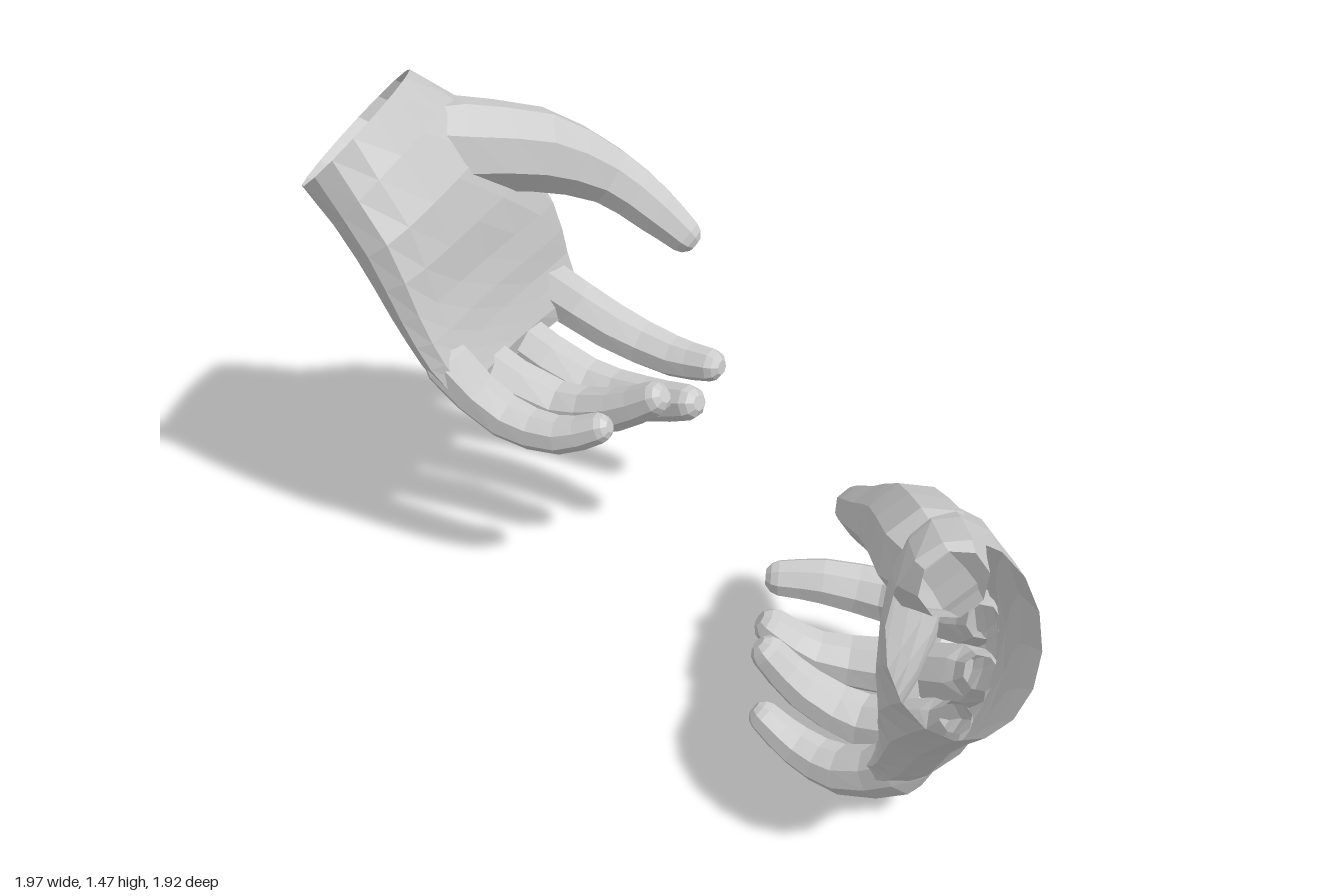
import * as THREE from 'three';

const V = (a) => new THREE.Vector3(a[0], a[1], a[2]);
const skin = new THREE.MeshStandardMaterial({ color: 0xcccccc, flatShading: true, side: THREE.DoubleSide });

// Joins equal rings of points into a skin, closes the far end, and turns it outward.
function loft(name, rings) {
  const n = rings[0].length, pos = [], idx = [];
  rings.forEach((r) => r.forEach((p) => pos.push(p.x, p.y, p.z)));
  for (let i = 0; i < rings.length - 1; i++) {
    for (let j = 0; j < n; j++) {
      const a = i * n + j, b = i * n + (j + 1) % n;
      idx.push(a, b, a + n, b, b + n, a + n);
    }
  }
  const last = rings[rings.length - 1];
  const end = last.reduce((s, p) => s.add(p), new THREE.Vector3()).divideScalar(n);
  const base = (rings.length - 1) * n;
  pos.push(end.x, end.y, end.z);
  for (let j = 0; j < n; j++) idx.push(base + j, base + (j + 1) % n, base + n);

  // Signed volume about the far end tells whether the faces point inward
  const at = (i) => new THREE.Vector3().fromArray(pos, i * 3).sub(end);
  let volume = 0;
  for (let i = 0; i < idx.length; i += 3) volume += at(idx[i]).dot(at(idx[i + 1]).cross(at(idx[i + 2])));
  if (volume < 0) for (let i = 0; i < idx.length; i += 3) [idx[i], idx[i + 1]] = [idx[i + 1], idx[i]];

  const geometry = new THREE.BufferGeometry();
  geometry.setAttribute('position', new THREE.Float32BufferAttribute(pos, 3));
  geometry.setIndex(idx);
  geometry.computeVertexNormals();
  const mesh = new THREE.Mesh(geometry, skin);
  mesh.name = name;
  return mesh;
}

// Linear lookup in a list of numbers, t from 0 to 1
function lerpList(list, t) {
  const f = t * (list.length - 1), i = Math.min(Math.floor(f), list.length - 2);
  return THREE.MathUtils.lerp(list[i], list[i + 1], f - i);
}

// A digit follows its joints, with a rounded tip; its frame is carried along so it never twists.
function digit(name, joints, radii, palmDir) {
  const curve = new THREE.CatmullRomCurve3(joints.map(V));
  const steps = (joints.length - 1) * 2, rings = [];
  const n = palmDir.clone();
  const ring = (c, dir, r) => {
    n.addScaledVector(dir, -n.dot(dir)).normalize();
    const s = new THREE.Vector3().crossVectors(dir, n);
    rings.push(Array.from({ length: 8 }, (_, j) => {
      const a = (j + 0.5) / 8 * Math.PI * 2;
      return c.clone().addScaledVector(s, Math.cos(a) * r).addScaledVector(n, Math.sin(a) * r);
    }));
  };
  for (let i = 0; i <= steps; i++) {
    const t = i / steps;
    ring(curve.getPoint(t), curve.getTangent(t), lerpList(radii, t));
  }
  const dir = curve.getTangent(1), r = radii[radii.length - 1];
  ring(curve.getPoint(1).addScaledVector(dir, r * 0.4), dir, r * 0.82);
  ring(curve.getPoint(1).addScaledVector(dir, r * 0.7), dir, r * 0.45);
  return loft(name, rings);
}

// The palm spans from its little-finger edge to its thumb edge, arched over the back and cupped inside.
function palm(little, thumbSide, thick, palmDir) {
  const a = new THREE.CatmullRomCurve3(little.map(V));
  const b = new THREE.CatmullRomCurve3(thumbSide.map(V));
  const steps = 8, rings = [];
  for (let i = 0; i <= steps + 1; i++) {
    const t = Math.min(i / steps, 1), closing = i > steps;
    const p = a.getPoint(t), q = b.getPoint(t);
    const c = p.clone().add(q).multiplyScalar(0.5);
    const u = q.clone().sub(p).multiplyScalar(closing ? 0.43 : 0.5);
    const d = a.getTangent(t).add(b.getTangent(t)).normalize();
    const n = new THREE.Vector3().crossVectors(u, d).normalize();
    if (n.dot(palmDir) < 0) n.negate();
    if (closing) c.addScaledVector(d, 0.045);
    const h = lerpList(thick, t) * (closing ? 0.5 : 1);
    const grow = Math.min(1, t * 2);
    rings.push(Array.from({ length: 16 }, (_, j) => {
      const x = Math.cos(j / 16 * Math.PI * 2), y = Math.sin(j / 16 * Math.PI * 2);
      const lift = y > 0
        ? h * (1 - 0.25 * grow) * y ** (1 - 0.3 * grow) - 0.065 * grow * (1 - x * x)
        : -h * (-y) ** (1 - 0.1 * grow) - 0.04 * grow * (1 - x * x);
      return c.clone().addScaledVector(u, x).addScaledVector(n, lift);
    }));
  }
  return loft('palm', rings);
}

function hand(name, spec) {
  const group = new THREE.Group();
  group.name = name;
  const dir = V(spec.palmDir).normalize();
  const wrist = V(spec.little[0]).add(V(spec.thumbSide[0])).multiplyScalar(0.5);
  group.add(palm(spec.little, spec.thumbSide, spec.thick, dir));
  group.add(digit('thumb', spec.thumb, [0.09, 0.135, 0.122, 0.088, 0.072, 0.055], dir));
  // Each finger starts a little way inside the palm
  const sizes = { indexFinger: 1, middleFinger: 1.03, ringFinger: 0.97, littleFinger: 0.86 };
  Object.entries(sizes).forEach(([finger, size], i) => {
    const joints = spec.fingers[i];
    const root = V(joints[0]).lerp(wrist, 0.17).addScaledVector(dir, -0.03).toArray();
    const radii = [0.045, 0.082, 0.076, 0.064, 0.05].map((r) => r * size);
    group.add(digit(finger, [root, ...joints], radii, dir));
  });
  return group;
}

export function createModel() {
  const model = new THREE.Group();
  model.name = 'pairOfHands';

  // Raised hand, palm turned inward, fingers half open
  model.add(hand('upperHand', {
    palmDir: [0.8, 0.6, 0.25],
    little: [[-0.9, 1.29, -0.32], [-0.76, 1.09, -0.27], [-0.68, 0.9, -0.27], [-0.61, 0.75, -0.28], [-0.55, 0.66, -0.3]],
    thumbSide: [[-0.78, 1.39, -0.77], [-0.53, 1.23, -0.84], [-0.38, 1.0, -0.88], [-0.34, 0.83, -0.91], [-0.3, 0.71, -0.91]],
    thick: [0.19, 0.18, 0.14, 0.11, 0.085],
    thumb: [[-0.74, 1.29, -0.6], [-0.6, 1.255, -0.66], [-0.39, 1.19, -0.8], [-0.2, 1.09, -0.87], [-0.06, 0.985, -0.87], [0.025, 0.915, -0.86]],
    fingers: [
      [[-0.41, 0.77, -0.83], [-0.2, 0.61, -0.86], [0, 0.55, -0.8], [0.12, 0.56, -0.74]],
      [[-0.49, 0.67, -0.7], [-0.24, 0.51, -0.68], [-0.05, 0.52, -0.59], [0.08, 0.57, -0.5]],
      [[-0.55, 0.67, -0.53], [-0.3, 0.53, -0.51], [-0.12, 0.58, -0.42], [0, 0.66, -0.36]],
      [[-0.58, 0.73, -0.36], [-0.42, 0.59, -0.33], [-0.26, 0.57, -0.28], [-0.14, 0.62, -0.25]],
    ],
  }));

  // Lower hand, palm turned the other way, fingers curled further
  model.add(hand('lowerHand', {
    palmDir: [-1, 0.15, 0],
    little: [[0.81, 0.61, 0.96], [0.74, 0.4, 0.77], [0.7, 0.24, 0.66], [0.66, 0.15, 0.57], [0.63, 0.1, 0.5]],
    thumbSide: [[0.83, 0.915, 0.62], [0.79, 0.82, 0.33], [0.8, 0.62, 0.17], [0.87, 0.46, 0.1], [0.86, 0.37, 0.05]],
    thick: [0.18, 0.185, 0.16, 0.12, 0.085],
    thumb: [[0.8, 0.76, 0.58], [0.75, 0.74, 0.45], [0.7, 0.66, 0.21], [0.63, 0.575, 0.04], [0.585, 0.515, -0.08], [0.56, 0.475, -0.16]],
    fingers: [
      [[0.88, 0.38, 0.17], [0.67, 0.29, -0.02], [0.49, 0.31, -0.04], [0.37, 0.31, -0.04]],
      [[0.88, 0.27, 0.28], [0.67, 0.17, 0.13], [0.48, 0.18, 0.11], [0.36, 0.26, 0.11]],
      [[0.81, 0.19, 0.4], [0.62, 0.11, 0.29], [0.46, 0.18, 0.26], [0.36, 0.28, 0.25]],
      [[0.72, 0.16, 0.52], [0.57, 0.067, 0.44], [0.45, 0.085, 0.38], [0.36, 0.15, 0.35]],
    ],
  }));
  return model;
}
